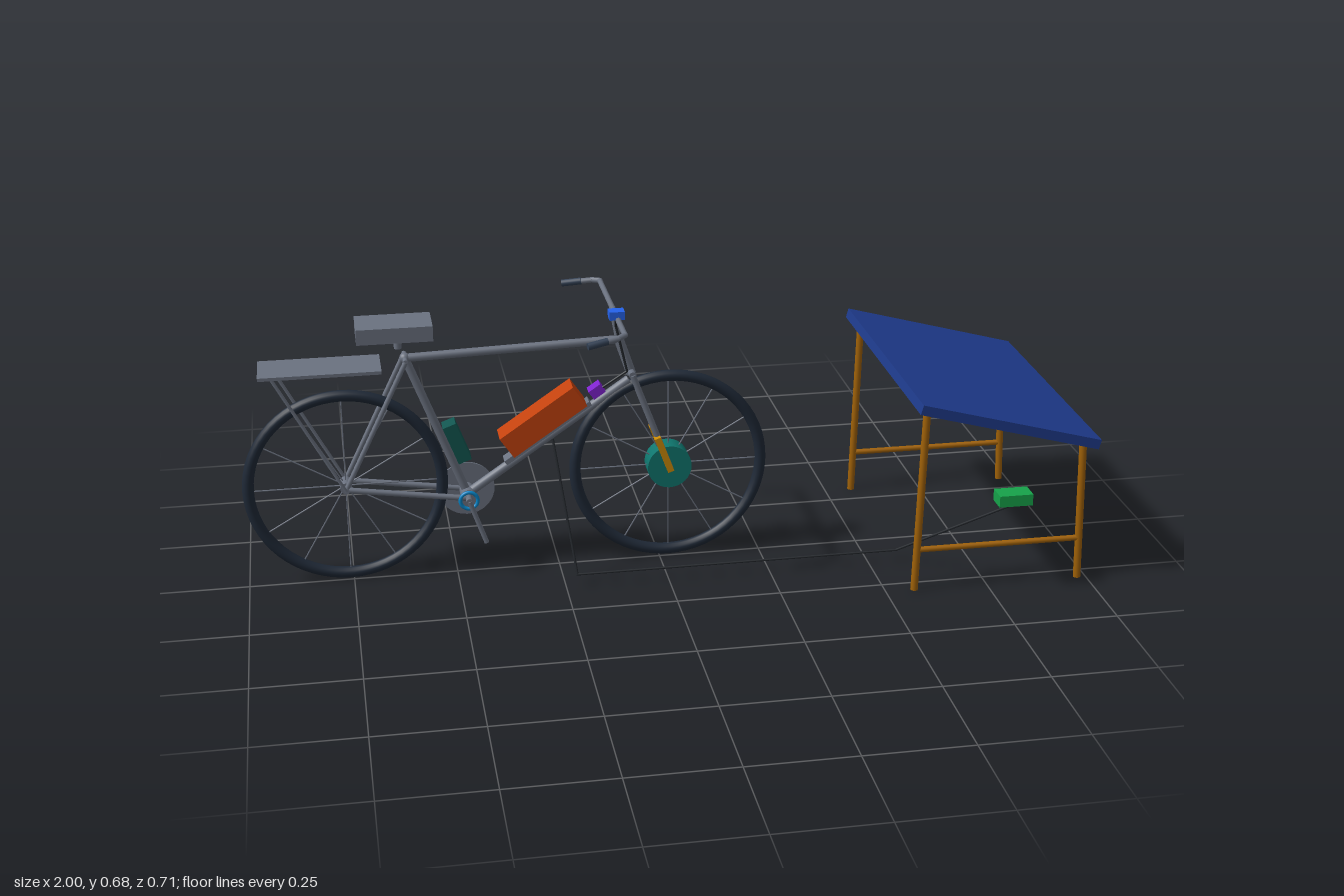
import * as THREE from 'three';

const V = (x, y, z) => new THREE.Vector3(x, y, z);
const UP = V(0, 1, 0);
const mats = {};
const mat = (color) => (mats[color] ??= new THREE.MeshStandardMaterial({ color }));

const GREY = 0x6b7280, TYRE = 0x1f2937, WIRE = 0x22262b, TEAL = 0x0f766e, DARK_TEAL = 0x125650,
  ORANGE = 0xc2410c, NAVY = 0x1e3a8a, WOOD = 0xa16207, GREEN = 0x16a34a, BLUE = 0x2563eb,
  PURPLE = 0x7e22ce, YELLOW = 0xca8a04, SKY = 0x0284c7, GRIP = 0x334155;

const MID = -0.0105;  // middle plane of the bicycle
const AXLE_Y = 0.246;

export function createModel() {
  const model = new THREE.Group();
  model.name = 'bicycleWithChargingShelter';
  const bike = new THREE.Group();
  bike.name = 'bicycle';
  bike.position.z = MID;
  const shelter = new THREE.Group();
  shelter.name = 'solarShelter';
  model.add(bike, shelter);

  const add = (parent, name, geo, color, pos, rotZ = 0) => {
    const m = new THREE.Mesh(geo, mat(color));
    m.name = name;
    m.position.copy(pos);
    m.rotation.z = rotZ;
    parent.add(m);
    return m;
  };
  const box = (parent, name, size, color, pos, rotZ) =>
    add(parent, name, new THREE.BoxGeometry(...size), color, pos, rotZ);
  // Round bar between two points
  const bar = (parent, name, a, b, r, color, sides = 16) => {
    const d = b.clone().sub(a);
    const m = add(parent, name, new THREE.CylinderGeometry(r, r, d.length(), sides), color, a.clone().lerp(b, 0.5));
    m.quaternion.setFromUnitVectors(UP, d.normalize());
    return m;
  };
  // Chain of straight bars with ball joints
  const wire = (parent, name, pts, r, color) => {
    const g = new THREE.Group();
    g.name = name;
    parent.add(g);
    pts.slice(1).forEach((p, i) => {
      bar(g, name + 'Segment', pts[i], p, r, color, 8);
      if (i < pts.length - 2) add(g, name + 'Joint', new THREE.SphereGeometry(r, 8, 6), color, p);
    });
  };
  // Disc with its axis along z
  const disc = (parent, name, r, w, color, pos) => {
    const geo = new THREE.CylinderGeometry(r, r, w, 32).rotateX(Math.PI / 2);
    return add(parent, name, geo, color, pos);
  };

  // Wheels
  const wheel = (name, x, hubR, hubW, hubColor) => {
    const g = new THREE.Group();
    g.name = name;
    g.position.set(x, AXLE_Y, 0);
    bike.add(g);
    add(g, 'tyre', new THREE.TorusGeometry(0.2295, 0.0137, 14, 64), TYRE, V(0, 0, 0));
    disc(g, 'hub', hubR, hubW, hubColor, V(0, 0, 0));
    disc(g, 'axle', 0.007, 0.078, GREY, V(0, 0, 0));
    for (let i = 0; i < 12; i++) {
      const a = (i * Math.PI) / 6;
      bar(g, 'spoke', V(0, 0, 0), V(Math.cos(a) * 0.225, Math.sin(a) * 0.225, 0), 0.0017, GREY, 6);
    }
  };
  const frontX = 0.023, rearX = -0.757;
  wheel('frontWheel', frontX, 0.054, 0.051, TEAL);
  wheel('rearWheel', rearX, 0.014, 0.045, GREY);

  // Frame tubes
  const bracket = V(-0.468, 0.203, 0), seatTop = V(-0.603, 0.56, 0);
  const headTop = V(-0.098, 0.58, 0), headLow = V(-0.067, 0.487, 0);
  const downEnd = V(-0.073, 0.472, 0);
  bar(bike, 'seatTube', bracket, seatTop, 0.01, GREY);
  bar(bike, 'topTube', seatTop, V(-0.098, 0.575, 0), 0.01, GREY);
  bar(bike, 'downTube', bracket, downEnd, 0.011, GREY);
  bar(bike, 'headTube', headTop, headLow, 0.0118, GREY);
  add(bike, 'seatTubeCap', new THREE.SphereGeometry(0.013, 16, 12), GREY, seatTop);
  disc(bike, 'bottomBracket', 0.018, 0.05, GREY, bracket);
  bar(bike, 'forkCrown', V(-0.068, 0.492, -0.033), V(-0.068, 0.492, 0.033), 0.009, GREY);

  // Paired stays, fork blades and rack struts
  for (const s of [-1, 1]) {
    const z = 0.03 * s;
    bar(bike, 'forkBlade', V(-0.068, 0.492, z), V(frontX, AXLE_Y, z), 0.0075, GREY);
    bar(bike, 'chainStay', V(rearX, AXLE_Y, z), V(bracket.x, bracket.y, z), 0.007, GREY);
    bar(bike, 'seatStay', V(rearX, AXLE_Y, z), V(seatTop.x, seatTop.y, z), 0.006, GREY);
    bar(bike, 'rackStrut', V(rearX, AXLE_Y, 0.04 * s), V(-0.917, 0.548, 0.04 * s), 0.004, GREY);
    box(bike, 'torqueArm', [0.016, 0.095, 0.02], YELLOW, V(0.006, 0.288, 0.039 * s), 0.355);
  }
  bar(bike, 'seatStayBridge', V(seatTop.x, seatTop.y, -0.033), V(seatTop.x, seatTop.y, 0.033), 0.006, GREY);

  // Saddle and rear rack
  box(bike, 'saddle', [0.177, 0.037, 0.102], GREY, V(-0.626, 0.634, 0));
  bar(bike, 'seatPost', V(-0.618, 0.585, 0), V(-0.618, 0.62, 0), 0.009, GREY);
  box(bike, 'rearRack', [0.284, 0.008, 0.115], GREY, V(-0.802, 0.548, 0));

  // Stem, handlebar and grips
  bar(bike, 'stem', headTop, V(-0.112, 0.657, 0), 0.0078, GREY);
  const barPts = [V(-0.2, 0.646, -0.228), V(-0.13, 0.655, -0.212), V(-0.112, 0.657, -0.198),
    V(-0.112, 0.657, 0.198), V(-0.13, 0.655, 0.212), V(-0.2, 0.646, 0.228)];
  wire(bike, 'handlebar', barPts, 0.007, GREY);
  for (const s of [-1, 1])
    bar(bike, 'grip', V(-0.202, 0.6455, 0.2285 * s), V(-0.155, 0.652, 0.218 * s), 0.0085, GRIP);

  // Display and its cable
  box(bike, 'display', [0.036, 0.02, 0.03], BLUE, V(-0.114, 0.667, 0.0815));
  wire(bike, 'displayCable', [V(-0.114, 0.657, 0.075), V(-0.106, 0.615, 0.019),
    V(-0.08, 0.5, 0.019), V(-0.152, 0.45, 0.01)], 0.003, WIRE);

  // Battery on its rail above the down tube
  const slope = Math.atan2(downEnd.y - bracket.y, downEnd.x - bracket.x);
  box(bike, 'battery', [0.215, 0.06, 0.064], ORANGE, V(-0.284, 0.386, 0), slope);
  box(bike, 'batteryRail', [0.25, 0.012, 0.036], GREY, V(-0.272, 0.352, 0), slope);
  box(bike, 'batteryConnector', [0.034, 0.024, 0.032], PURPLE, V(-0.152, 0.45, 0), slope);
  // Controller box beside the seat tube
  box(bike, 'controller', [0.033, 0.1, 0.045], DARK_TEAL, V(-0.49, 0.342, 0), 0.36);

  // Cranks, chainring and sensor ring
  disc(bike, 'chainring', 0.068, 0.005, GREY, V(bracket.x, bracket.y, -0.031));
  disc(bike, 'crankAxle', 0.008, 0.108, GREY, bracket);
  for (const s of [-1, 1]) {
    const z = 0.0515 * s;
    bar(bike, 'crankArm', V(bracket.x, bracket.y, z), V(bracket.x + 0.038 * s, bracket.y - 0.11 * s, z), 0.006, GREY);
  }
  add(bike, 'pedalSensor', new THREE.TorusGeometry(0.021, 0.0045, 10, 32), SKY, V(bracket.x, 0.2, 0.038));

  // Tilted solar panel on four legs
  const midZ = -0.0135;
  box(shelter, 'solarPanel', [0.454, 0.024, 0.683], NAVY, V(0.774, 0.424, midZ), -Math.PI / 12);
  for (const z of [midZ - 0.299, midZ + 0.3]) {
    bar(shelter, 'tallLeg', V(0.57, 0.002, z), V(0.58, 0.467, z), 0.009, WOOD);
    bar(shelter, 'shortLeg', V(0.979, 0.002, z), V(0.967, 0.363, z), 0.009, WOOD);
    bar(shelter, 'crossBar', V(0.572, 0.107, z), V(0.976, 0.107, z), 0.007, WOOD);
  }

  // Charger and ground cable
  box(shelter, 'charger', [0.081, 0.028, 0.047], GREEN, V(0.787, 0.248, 0.331));
  wire(model, 'chargingCable', [V(0.787, 0.236, 0.343), V(0.57, 0.03, 0.125),
    V(-0.222, 0.03, 0.125), V(-0.262, 0.34, 0.015)], 0.003, WIRE);

  return model;
}
